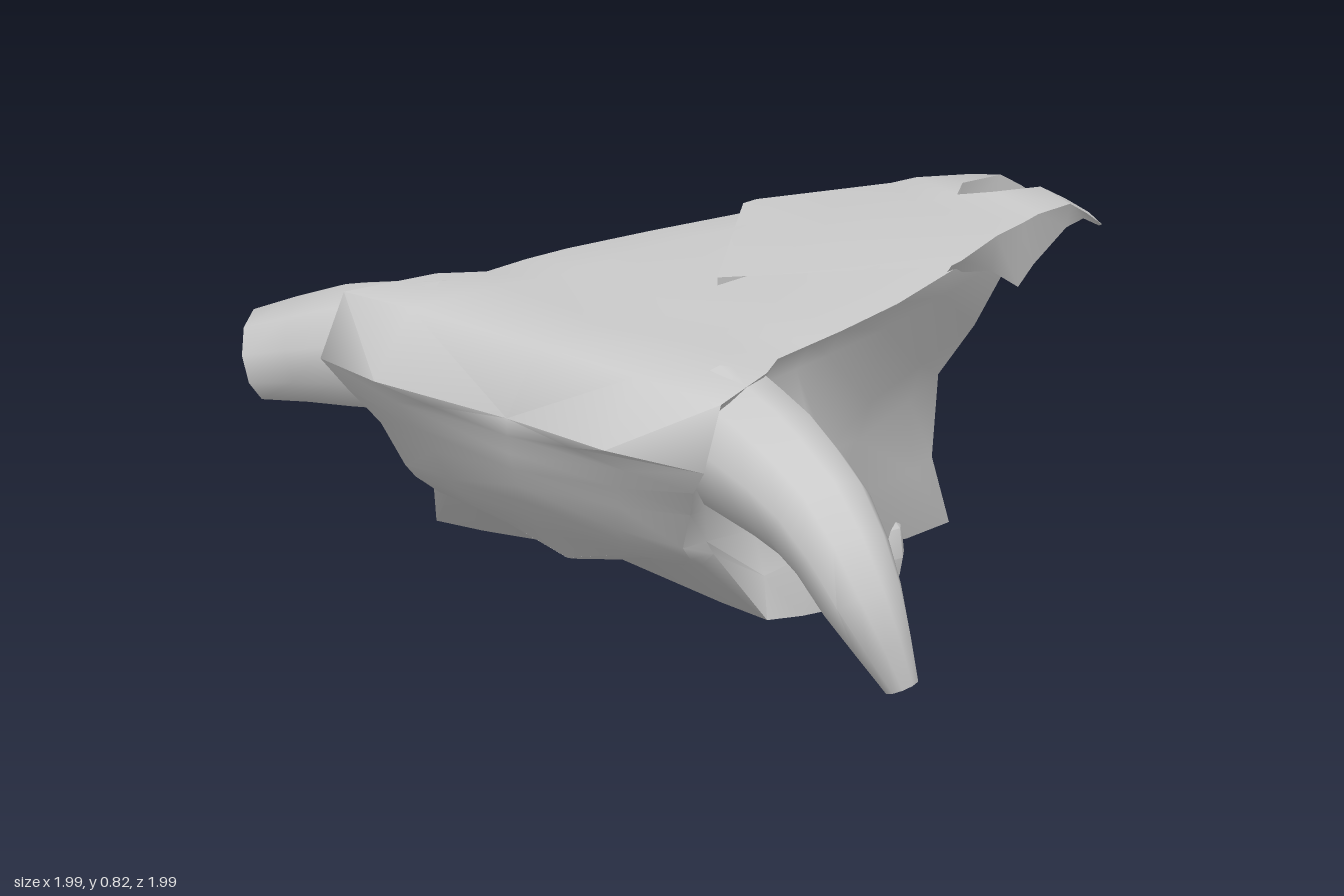
import * as THREE from 'three';
import { mergeGeometries, toCreasedNormals } from 'three/addons/utils/BufferGeometryUtils.js';

const bone = new THREE.MeshStandardMaterial({ color: 0xcccccc, side: THREE.DoubleSide });
const { lerp } = THREE.MathUtils;

// Skin between successive rows of [x, y, z] points; optionally closed around, mirrored in x,
// or with the four cells around one point left open
function loft(cols, { closed = false, side = 1, hole } = {}) {
  const n = cols[0].length, pos = [], index = [];
  cols.forEach(c => c.forEach(p => pos.push(p[0] * side, p[1], p[2])));
  for (let c = 0; c < cols.length - 1; c++) {
    for (let r = 0; r < (closed ? n : n - 1); r++) {
      if (hole && (c === hole[0] || c === hole[0] - 1) && (r === hole[1] || r === hole[1] - 1)) continue;
      const a = c * n + r, b = c * n + (r + 1) % n, d = a + n, e = b + n;
      if (side > 0) index.push(a, d, b, d, e, b);
      else index.push(a, b, d, d, b, e);
    }
  }
  const g = new THREE.BufferGeometry();
  g.setAttribute('position', new THREE.Float32BufferAttribute(pos, 3));
  g.setIndex(index);
  return g;
}

const bothSides = (cols, opts) =>
  mergeGeometries([1, -1].map(side => loft(cols, { ...opts, side })));

function addPart(parent, name, geometry, crease = 0.8) {
  const mesh = new THREE.Mesh(toCreasedNormals(geometry, crease), bone);
  mesh.name = name;
  parent.add(mesh);
  return mesh;
}

// Half section from roof centre, down the side, to palate centre
function section([z, roofX, roofY, cheekX, lipX, lipY]) {
  const palateY = 0.2 + 0.08 * z;
  return [
    [0, roofY - 0.01], [roofX * 0.6, roofY + 0.012], [roofX, roofY - 0.01], [roofX * 0.9, roofY - 0.08],
    [lerp(cheekX, roofX, 0.3), 0.51], [cheekX, 0.41], [lerp(cheekX, lipX, 0.4) + 0.015, (0.41 + lipY) / 2],
    [lipX, lipY], [lipX * 0.72, lerp(lipY, palateY, 0.2)], [0, palateY],
  ].map(p => [...p, z]);
}

// Cranium and muzzle, from the nose opening to the back of the head, with eye sockets
function addCranium(parent) {
  const cols = [
    [-0.5, 0.19, 0.75, 0.1, 0.08, 0.03],
    [-0.27, 0.3, 0.77, 0.17, 0.16, 0.075],
    [0, 0.37, 0.78, 0.25, 0.25, 0.16],
    [0.245, 0.415, 0.793, 0.4, 0.4, 0.2],
    [0.37, 0.43, 0.798, 0.45, 0.5, 0.155],
    [0.495, 0.44, 0.8, 0.47, 0.515, 0.185],
    [0.6, 0.5, 0.81, 0.46, 0.5, 0.2],
    [0.7, 0.57, 0.815, 0.43, 0.38, 0.33],
    [0.8, 0.58, 0.67, 0.42, 0.37, 0.34],
  ].map(section);

  // Slanted ends: nose rim, then the two edges of the ridge behind the horns
  const setDepth = (col, depths) => col.forEach((p, i) => { p[2] = depths[i]; });
  setDepth(cols[0], [-0.57, -0.57, -0.57, -0.63, -0.545, -0.45, -0.42, -0.51, -0.5, -0.25]);
  setDepth(cols[7], [0.82, 0.87, 0.84, 0.86, 0.78, 0.73, 0.7, 0.69, 0.69, 0.7]);
  setDepth(cols[8], [0.93, 0.99, 0.91, 0.88, 0.83, 0.8, 0.77, 0.74, 0.71, 0.72]);
  cols[4][7][2] = 0.31;

  // Pull the points around the eye into an octagon
  const octagon = [];
  for (let k = 0; k < 8; k++) {
    const a = k * Math.PI / 4, c = Math.cos(a), s = Math.sin(a);
    const p = cols[4 + Math.round(c)][5 - Math.round(s)];
    p[1] = 0.41 + 0.125 * s;
    p[2] = 0.37 + 0.125 * c;
    octagon.push(p);
  }

  // Rounded occiput closing the back
  const rim = cols[8];
  const centre = rim.map((p, i) => [0, lerp(rim[0][1], rim[9][1], i / 9), 0.93 - 0.0026 * i * i]);
  const between = rim.map((p, i) => [p[0] * 0.6, lerp(centre[i][1], p[1], 0.45), lerp(centre[i][2], p[2], 0.4)]);
  addPart(parent, 'cranium', bothSides([...cols, between, centre], { hole: [4, 5] }), 1.1);

  // Sockets narrowing inward from the octagon
  const sink = (x, k) => octagon.map(p => [x, lerp(0.41, p[1], k), lerp(0.37, p[2], k)]);
  addPart(parent, 'eyeSockets', bothSides([octagon, sink(0.28, 0.75), sink(0.12, 0)], { closed: true }));
}

// Nasal bones: a thin plate with a V-shaped rear edge, ending in two prongs.
// Each row: inner z, outer z, inner x, outer x, top, thickness
function nasalGeometry() {
  return bothSides([
    [-1, -1, 0.075, 0.115, 0.645, 0.025],
    [-0.93, -0.93, 0.067, 0.13, 0.695, 0.035],
    [-0.85, -0.85, 0.06, 0.15, 0.745, 0.08],
    [-0.7, -0.7, 0.045, 0.185, 0.77, 0.145],
    [-0.63, -0.63, 0, 0.2, 0.772, 0.18],
    [-0.5, -0.5, 0, 0.235, 0.785, 0.11],
    [-0.15, -0.29, 0, 0.31, 0.8, 0.055],
    [0.2, -0.25, 0, 0.315, 0.8, 0.055],
  ].map(([zIn, zOut, xIn, xOut, top, thick]) => [
    [xIn, top - thick * 0.6, zIn], [xIn, top, zIn],
    [xOut, top - 0.02, zOut], [xOut * 0.92, top - thick, zOut],
  ]), { closed: true });
}

// Horn: tapering rings along a curve, each knot given as [x, y, z, radius]
function hornGeometry(knots, side) {
  const curve = new THREE.CatmullRomCurve3(knots.map(k => new THREE.Vector3(k[0], k[1], k[2])));
  const steps = (knots.length - 1) * 2, sides = 10, cols = [];
  const frames = curve.computeFrenetFrames(steps);
  for (let i = 0; i <= steps; i++) {
    const t = i / steps, f = t * (knots.length - 1), k = Math.min(Math.floor(f), knots.length - 2);
    const r = lerp(knots[k][3], knots[k + 1][3], f - k);
    const c = curve.getPointAt(t), ring = [];
    for (let j = 0; j < sides; j++) {
      const a = -j / sides * Math.PI * 2;
      const o = frames.normals[i].clone().multiplyScalar(Math.cos(a) * r)
        .addScaledVector(frames.binormals[i], Math.sin(a) * r);
      ring.push([c.x + o.x, c.y + o.y * 0.87, c.z + o.z]);
    }
    cols.push(ring);
  }
  // flat end
  const end = curve.getPointAt(1);
  cols.push(cols[steps].map(() => [end.x, end.y, end.z]));
  return loft(cols, { closed: true, side });
}

export function createModel() {
  const model = new THREE.Group();
  model.name = 'hornedSkull';
  // One horn is broken short, so the skull sits off centre
  const skull = new THREE.Group();
  skull.name = 'skull';
  skull.position.x = -0.11;
  model.add(skull);

  addCranium(skull);
  addPart(skull, 'nasalBones', nasalGeometry());

  // Whole left horn and broken right horn
  const base = [[0.4, 0.665, 0.67, 0.18], [0.62, 0.635, 0.73, 0.165]];
  addPart(skull, 'leftHorn', hornGeometry([...base, [0.84, 0.565, 0.79, 0.135],
    [0.985, 0.42, 0.82, 0.1], [1.065, 0.225, 0.78, 0.042]], 1));
  addPart(skull, 'brokenRightHorn', hornGeometry([...base, [0.84, 0.58, 0.805, 0.122]], -1));

  // Four cheek teeth a side: [x, bottom, top, z, radius]
  const teeth = [[0.305, 0.075, 0.26, 0.145, 0.075], [0.25, 0.085, 0.23, 0.03, 0.055],
    [0.2, 0.045, 0.2, -0.07, 0.058], [0.15, 0.005, 0.16, -0.19, 0.065]];
  for (const side of [1, -1]) {
    teeth.forEach(([x, bottom, top, z, r], i) => {
      const profile = [[0, 0], [0.8, 0.02], [1, 0.3], [1, 0.75], [0.6, 1], [0, 1]]
        .map(p => new THREE.Vector2(p[0] * r, p[1] * (top - bottom)));
      const tooth = addPart(skull, `${side > 0 ? 'left' : 'right'}Tooth${i + 1}`,
        new THREE.LatheGeometry(profile, 7), 0.9);
      tooth.position.set(side * x, bottom, z);
      tooth.rotation.z = side * 0.12;
    });
  }
  return model;
}
